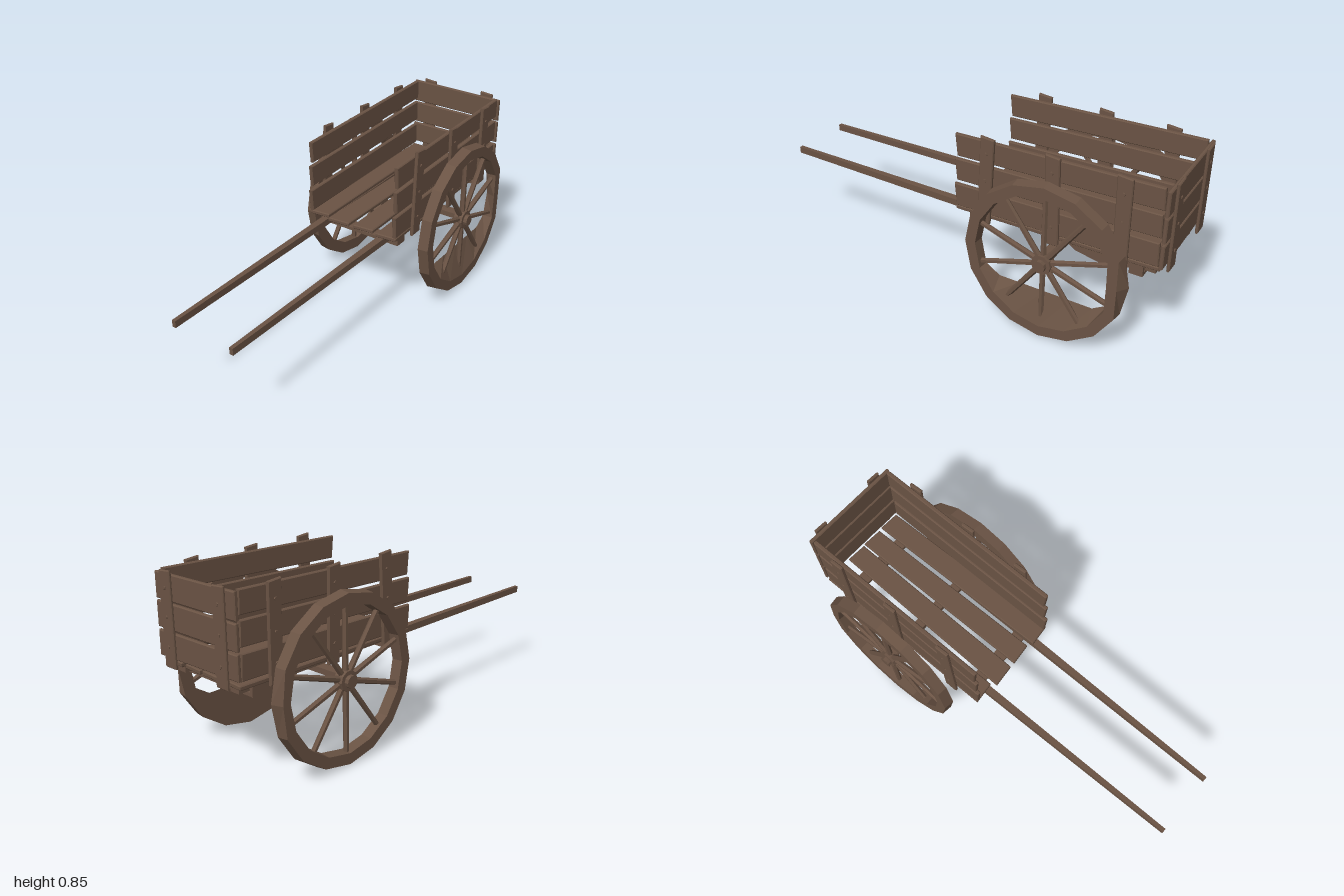
import * as THREE from 'three';

const wood = new THREE.MeshStandardMaterial({ color: 0x6a5344 });
wood.name = 'weathered wood';

// Moves each face onto its own vertices so that edges stay hard
function faceted(geo) {
  const g = geo.index ? geo.toNonIndexed() : geo;
  g.computeVertexNormals();
  return g;
}

function add(group, name, geo) {
  const mesh = new THREE.Mesh(faceted(geo), wood);
  mesh.name = name;
  group.add(mesh);
  return mesh;
}

function box(group, name, [w, h, d], [x, y, z]) {
  return add(group, name, new THREE.BoxGeometry(w, h, d).translate(x, y, z));
}

// Chamfered board with four free corners, centred on its thickness
function board(corners, thickness) {
  const b = 0.004;
  const shape = new THREE.Shape(corners.map(([u, v]) => new THREE.Vector2(u, v)));
  return new THREE.ExtrudeGeometry(shape, {
    depth: thickness - 2 * b, bevelEnabled: true, bevelSize: b, bevelOffset: -b,
    bevelThickness: b, bevelSegments: 1,
  }).translate(0, 0, -thickness / 2 + b);
}

// Wheel rim: four loops (outer and inner edge on each face), worn flat by clamps
function rimGeometry(side, worn) {
  const n = 16, pos = [], idx = [];
  const loops = [
    { x: 0.35, r: 0.372, minZ: worn ? -0.345 : -0.36 },
    { x: 0.30, r: 0.378 },
    { x: 0.30, r: 0.318, minY: worn ? -0.165 : -1 },
    { x: 0.35, r: 0.322, minZ: worn ? -0.3 : -1 },
  ];
  for (const { x, r, minZ = -1, minY = -1 } of loops) {
    for (let i = 0; i < n; i++) {
      const a = (i / n) * Math.PI * 2;
      pos.push(side * x, Math.max(Math.cos(a) * r, minY), Math.max(Math.sin(a) * r, minZ));
    }
  }
  for (let l = 0; l < 4; l++) {
    for (let i = 0; i < n; i++) {
      const j = (i + 1) % n, m = (l + 1) % 4;
      const a = l * n + i, b = l * n + j, c = m * n + j, d = m * n + i;
      if (side > 0) idx.push(a, d, b, b, d, c);
      else idx.push(a, b, d, b, c, d);
    }
  }
  const g = new THREE.BufferGeometry();
  g.setAttribute('position', new THREE.Float32BufferAttribute(pos, 3));
  g.setIndex(idx);
  return g;
}

function makeWheel(side, worn) {
  const wheel = new THREE.Group();
  wheel.name = side > 0 ? 'leftWheel' : 'rightWheel';
  add(wheel, 'rim', rimGeometry(side, worn));
  for (let i = 0; i < 10; i++) {
    add(wheel, 'spoke', new THREE.CylinderGeometry(0.012, 0.014, 0.31, 6)
      .translate(0, 0.18, 0).rotateX(i * Math.PI / 5).translate(side * 0.325, 0, 0));
  }
  const hub = (name, r, len, x) => add(wheel, name,
    new THREE.CylinderGeometry(r, r, len, 10).rotateZ(Math.PI / 2).translate(side * x, 0, 0));
  hub('hub', 0.046, 0.045, 0.325);
  hub('hubCap', 0.028, 0.03, 0.351);
  wheel.position.set(0, 0.378, -0.495);
  return wheel;
}

export function createModel() {
  const cart = new THREE.Group();
  cart.name = 'handcart';

  // Floor boards, outlined in x and z
  const floor = [
    [-0.245, -0.145, -0.245, -0.14, -0.02],
    [-0.105, -0.005, -0.125, -0.015, -0.005],
    [0.005, 0.105, 0.01, 0.115, -0.015],
    [0.125, 0.225, 0.14, 0.245, -0.01],
  ];
  for (const [bx0, bx1, fx0, fx1, front] of floor) {
    add(cart, 'floorBoard', board([[bx0, -0.97], [bx1, -0.965], [fx1, front], [fx0, front + 0.01]], 0.02)
      .rotateX(Math.PI / 2).translate(0, 0.456, 0));
  }

  // Side boards: bottom and top heights at the front, then at the back
  const rows = [[0.465, 0.575, 0.48, 0.59], [0.595, 0.7, 0.615, 0.72], [0.715, 0.82, 0.74, 0.838]];
  const posts = [[-0.16, -0.18], [-0.495, -0.485], [-0.805, -0.8]];
  for (const s of [-1, 1]) {
    rows.forEach(([f0, f1, b0, b1], i) => {
      const front = -0.004 * i;
      add(cart, 'sideBoard', board([[-0.962, b0], [front - 0.01, f0], [front, f1], [-0.958, b1]], 0.02)
        .rotateY(-Math.PI / 2).translate(s * 0.235, 0, 0));
    });
    // Upright battens with pegs
    for (const [z0, z1] of posts) {
      add(cart, 'sideBatten', board(
        [[z0 - 0.032, 0.432], [z0 + 0.032, 0.43], [z1 + 0.034, 0.852], [z1 - 0.034, 0.845]], 0.017)
        .rotateY(-Math.PI / 2).translate(s * 0.255, 0, 0));
      for (const y of [0.52, 0.645, 0.775]) {
        add(cart, 'peg', new THREE.CylinderGeometry(0.007, 0.008, 0.006, 6).rotateZ(-s * Math.PI / 2)
          .translate(s * 0.265, y, z0 + (z1 - z0) * (y - 0.43) / 0.42));
      }
    }
  }

  // Tailboard with two battens
  for (const [l0, l1, r0, r1] of [[0.485, 0.592, 0.475, 0.585], [0.602, 0.712, 0.597, 0.708], [0.722, 0.835, 0.717, 0.828]]) {
    add(cart, 'tailBoard', board([[-0.25, l0], [0.25, r0], [0.25, r1], [-0.25, l1]], 0.018)
      .translate(0, 0, -0.974));
  }
  for (const s of [-1, 1]) {
    add(cart, 'tailBatten', board(
      [[s * 0.165 - 0.034, 0.44], [s * 0.165 + 0.034, 0.44], [s * 0.167 + 0.034, 0.843], [s * 0.167 - 0.034, 0.848]], 0.014)
      .translate(0, 0, -0.989));
    for (const y of [0.53, 0.655, 0.775]) {
      add(cart, 'peg', new THREE.CylinderGeometry(0.007, 0.008, 0.006, 6).rotateX(-Math.PI / 2)
        .translate(s * 0.166, y, -0.997));
    }
  }

  // Long shafts, tapering towards the front handles
  for (const s of [-1, 1]) {
    const g = new THREE.BoxGeometry(1, 0.032, 1.94);
    const p = g.attributes.position;
    for (let i = 0; i < p.count; i++) {
      const tip = p.getZ(i) > 0;
      p.setX(i, s * (tip ? 0.152 : 0.17) + p.getX(i) * (tip ? 0.018 : 0.05));
    }
    add(cart, 'shaft', g.translate(0, 0.427, 0.03));
  }

  // U-shaped cradles that hold the shafts under the floor
  for (const z of [-0.095, -0.865]) {
    box(cart, 'cradleBar', [0.44, 0.016, 0.06], [0, 0.4, z]);
    for (const s of [-1, 1]) box(cart, 'cradleEnd', [0.016, 0.056, 0.06], [s * 0.213, 0.42, z]);
  }

  // Axle and wheels
  box(cart, 'axle', [0.66, 0.026, 0.05], [0, 0.393, -0.495]);
  cart.add(makeWheel(1, true), makeWheel(-1, false));
  return cart;
}
